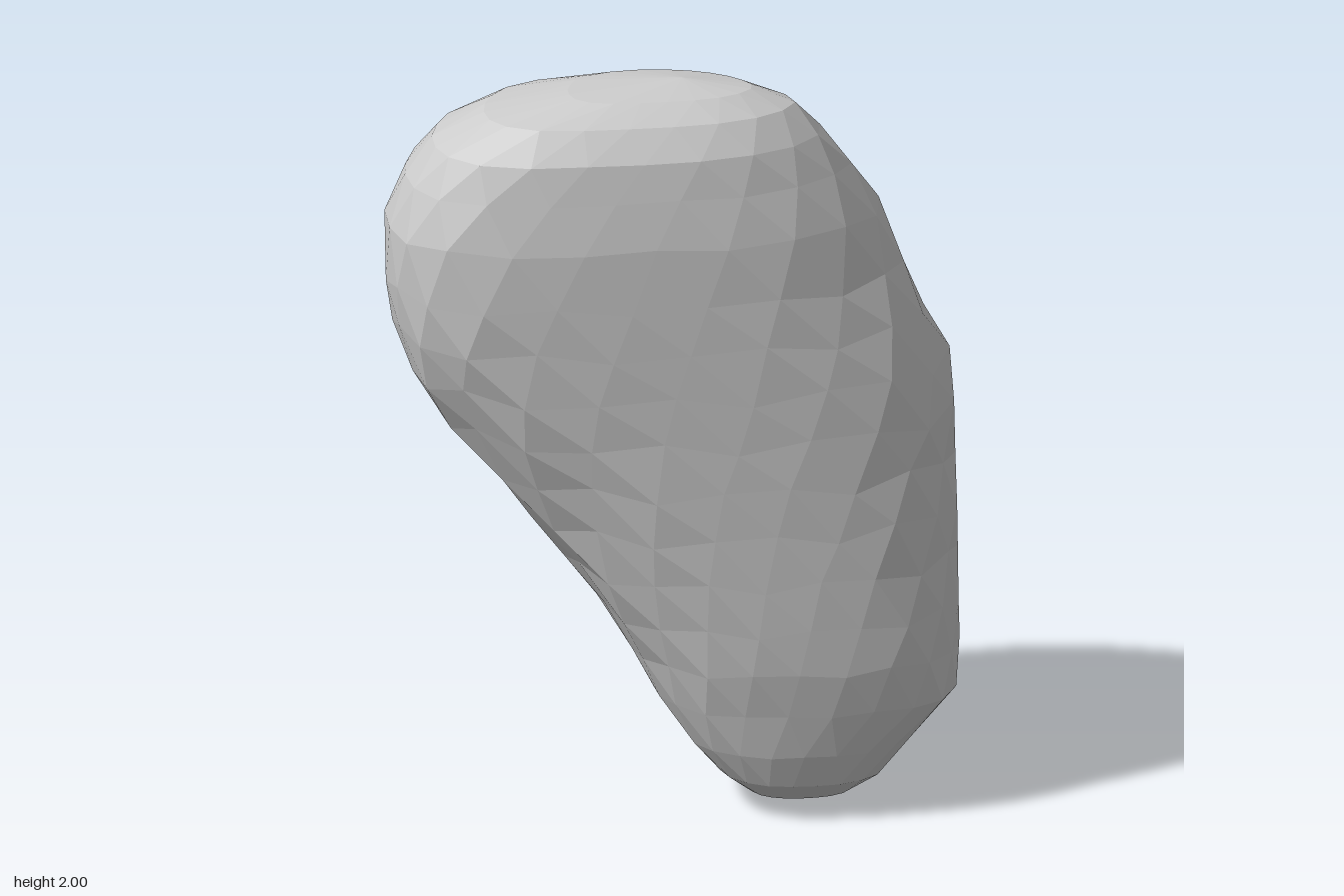
import * as THREE from 'three';

const SEGMENTS = 22;

// Rounded outlines of a level, seen from above, scaled to -1..1 both ways
const upperOutline = [
  [-1, 0.14], [-0.94, 0.61], [-0.74, 0.89], [-0.4, 0.99], [0.05, 1], [0.42, 0.96],
  [0.7, 0.82], [0.91, 0.56], [1, 0.26], [0.9, -0.12], [0.72, -0.46], [0.45, -0.76],
  [0.1, -0.95], [-0.2, -1], [-0.55, -0.92], [-0.82, -0.66], [-0.95, -0.26],
];
const lowerOutline = [
  [-1, 0.14], [-0.93, 0.52], [-0.74, 0.78], [-0.42, 0.95], [0, 1], [0.3, 0.98],
  [0.61, 0.89], [0.85, 0.69], [1, 0.25], [0.92, -0.02], [0.77, -0.28], [0.52, -0.57],
  [0.2, -0.86], [-0.15, -0.98], [-0.5, -0.97], [-0.8, -0.74], [-0.96, -0.3],
];

// Levels from bottom to top: y, left x, right x, back z, front z
const levels = [
  [0.035, 0.19, 0.46, 0.0, 0.25],
  [0.10, 0.11, 0.54, -0.09, 0.34],
  [0.19, 0.03, 0.62, -0.16, 0.37],
  [0.31, -0.05, 0.73, -0.21, 0.395],
  [0.43, -0.11, 0.74, -0.27, 0.415],
  [0.55, -0.19, 0.74, -0.34, 0.42],
  [0.68, -0.28, 0.74, -0.375, 0.42],
  [0.81, -0.38, 0.74, -0.395, 0.42],
  [0.94, -0.48, 0.735, -0.405, 0.42],
  [1.07, -0.59, 0.735, -0.41, 0.42],
  [1.20, -0.675, 0.72, -0.415, 0.42],
  [1.33, -0.72, 0.66, -0.42, 0.42],
  [1.46, -0.745, 0.60, -0.415, 0.42],
  [1.62, -0.745, 0.54, -0.385, 0.415],
  [1.75, -0.70, 0.46, -0.30, 0.395],
  [1.85, -0.63, 0.38, -0.21, 0.375],
  [1.93, -0.50, 0.31, -0.10, 0.32],
  [1.975, -0.28, 0.20, 0.0, 0.25],
];

// Outline at a height: pointed at the right below, fuller above
function outlineAt(y) {
  const t = THREE.MathUtils.smoothstep(y, 0.95, 1.6);
  return new THREE.CatmullRomCurve3(lowerOutline.map(([u, v], i) => new THREE.Vector3(
    THREE.MathUtils.lerp(u, upperOutline[i][0], t), 0,
    THREE.MathUtils.lerp(v, upperOutline[i][1], t),
  )), true);
}

// Maps a value between its own extremes onto a new span
const fit = (value, all, a, b) => THREE.MathUtils.mapLinear(value, Math.min(...all), Math.max(...all), a, b);

function stoneGeometry() {
  const positions = [];
  const index = [];

  // Every second ring is turned half a step, giving triangular facets
  levels.forEach(([y, left, right, back, front], r) => {
    const outline = outlineAt(y);
    const ring = [];
    for (let i = 0; i < SEGMENTS; i++) {
      ring.push(outline.getPointAt(((i + (r % 2) * 0.5) / SEGMENTS) % 1));
    }
    const us = ring.map((p) => p.x);
    const vs = ring.map((p) => p.z);
    // Uneven ring heights, fading out towards both tips
    const unevenness = 0.022 * Math.sin((Math.PI * y) / 2) ** 2;
    ring.forEach((p, i) => {
      positions.push(
        fit(p.x, us, left, right),
        y + unevenness * Math.sin(i * 2.3 + r * 4.1),
        fit(p.z, vs, back, front),
      );
    });
  });

  // Side facets
  for (let r = 0; r < levels.length - 1; r++) {
    for (let i = 0; i < SEGMENTS; i++) {
      const j = (i + 1) % SEGMENTS;
      const a = r * SEGMENTS + i;
      const b = r * SEGMENTS + j;
      const c = a + SEGMENTS;
      const d = b + SEGMENTS;
      if (r % 2) index.push(a, b, d, a, d, c);
      else index.push(a, b, c, b, d, c);
    }
  }

  // Closing tips at the bottom and top
  const bottom = positions.length / 3;
  positions.push(0.29, 0, 0.11, 0.02, 2, 0.14);
  const last = (levels.length - 1) * SEGMENTS;
  for (let i = 0; i < SEGMENTS; i++) {
    const j = (i + 1) % SEGMENTS;
    index.push(bottom, j, i, bottom + 1, last + i, last + j);
  }

  const geometry = new THREE.BufferGeometry();
  geometry.setAttribute('position', new THREE.Float32BufferAttribute(positions, 3));
  geometry.setIndex(index);
  geometry.computeVertexNormals();
  return geometry;
}

export function createModel() {
  const group = new THREE.Group();
  group.name = 'rock';
  const stone = new THREE.Mesh(
    stoneGeometry(),
    new THREE.MeshStandardMaterial({ color: 0xcccccc, flatShading: true }),
  );
  stone.name = 'stone';
  group.add(stone);
  return group;
}
